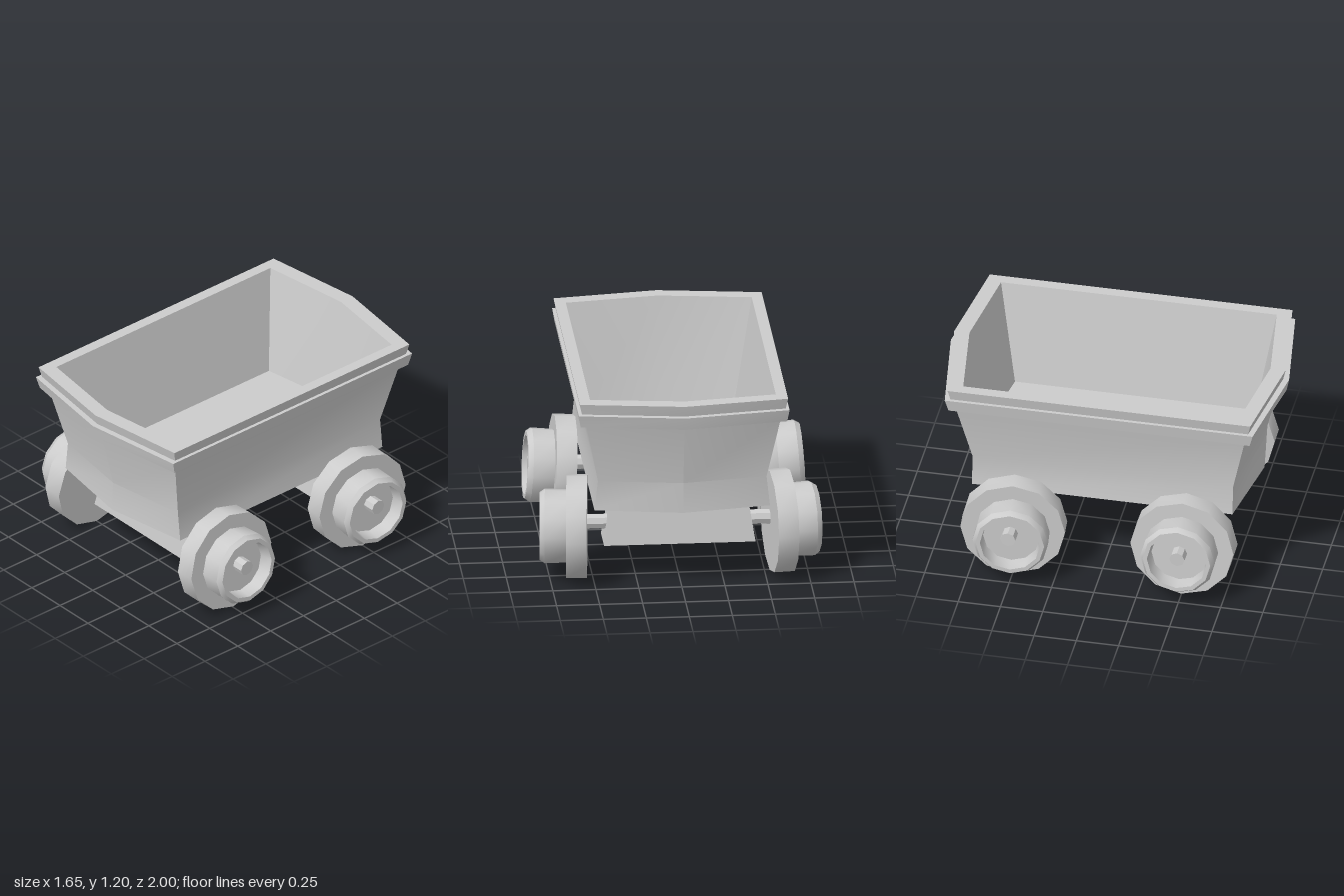
import * as THREE from 'three';
import { toCreasedNormals } from 'three/addons/utils/BufferGeometryUtils.js';

const material = new THREE.MeshStandardMaterial({ color: 0xcccccc });
const openMaterial = new THREE.MeshStandardMaterial({ color: 0xcccccc, side: THREE.DoubleSide });

function addMesh(parent, name, geometry, mat = material) {
  const mesh = new THREE.Mesh(geometry, mat);
  mesh.name = name;
  parent.add(mesh);
  return mesh;
}

// Skins six-sided rings [y, half width, z at corners, z at the middle], bottom outside first
function loft(levels, capped) {
  const rings = levels.map(([y, w, zc, zm]) => [
    [w, y, zc], [0, y, zm], [-w, y, zc], [-w, y, -zc], [0, y, -zm], [w, y, -zc],
  ]);
  const pos = [];
  const tri = (a, b, c) => pos.push(...a, ...b, ...c);
  for (let i = 0; i < rings.length - 1; i++) {
    for (let j = 0; j < 6; j++) {
      const k = (j + 1) % 6;
      const [lo, hi] = [rings[i], rings[i + 1]];
      tri(lo[j], hi[j], lo[k]);
      tri(lo[k], hi[j], hi[k]);
    }
  }
  if (capped) {
    const first = rings[0], last = rings[rings.length - 1];
    for (let j = 1; j < 5; j++) {
      tri(first[0], first[j], first[j + 1]);
      tri(last[0], last[j + 1], last[j]);
    }
  }
  const geometry = new THREE.BufferGeometry();
  geometry.setAttribute('position', new THREE.Float32BufferAttribute(pos, 3));
  return toCreasedNormals(geometry, 0.35);
}

// Wheel turned around its axle: flange, hub with bevelled lip, recess
function wheelGeometry() {
  const profile = [
    [0, -0.12], [0.305, -0.12], [0.305, 0], [0.215, 0], [0.22, 0.125],
    [0.2, 0.155], [0.175, 0.155], [0.165, 0.07], [0, 0.07],
  ].map(([r, h]) => new THREE.Vector2(r, h));
  return toCreasedNormals(new THREE.LatheGeometry(profile, 12).toNonIndexed(), 0.55);
}

export function createModel() {
  const model = new THREE.Group();
  model.name = 'mineCart';

  // Tub: flared outside, two rim bands, sloping inside down to the floor
  addMesh(model, 'tub', loft([
    [0.5, 0.51, 0.77, 0.855],
    [0.68, 0.49, 0.77, 0.845],
    [1.06, 0.565, 0.855, 0.935],
    [1.06, 0.6, 0.89, 0.985],
    [1.135, 0.612, 0.91, 1.0],
    [1.135, 0.592, 0.88, 0.965],
    [1.2, 0.605, 0.895, 0.98],
    [1.2, 0.54, 0.815, 0.89],
    [0.59, 0.43, 0.71, 0.78],
  ], true));

  const wheel = wheelGeometry();
  for (const end of [1, -1]) {
    const place = end > 0 ? 'front' : 'back';
    const z = 0.5 * end;

    // Axle housing, open underneath
    const housing = addMesh(model, place + 'AxleHousing', loft([
      [0.22, 0.44, 0.11, 0.11],
      [0.5, 0.395, 0.07, 0.07],
    ], false), openMaterial);
    housing.position.z = z;

    // Axle through to the wheel recesses
    const axle = addMesh(model, place + 'Axle',
      toCreasedNormals(new THREE.CylinderGeometry(0.045, 0.045, 1.58, 8).toNonIndexed(), 0.5));
    axle.rotation.z = Math.PI / 2;
    axle.position.set(0, 0.333, z);

    // Crooked wheels: the front pair lean, the back pair are turned
    const lean = end > 0 ? 0.06 : 0;
    const turn = end > 0 ? 0 : 0.095;
    for (const side of [1, -1]) {
      const hub = new THREE.Group();
      hub.name = place + (side > 0 ? 'Left' : 'Right') + 'Wheel';
      hub.position.set(0.65 * side, end > 0 ? 0.316 : 0.31, z);
      hub.rotation.y = -turn * side;
      model.add(hub);
      addMesh(hub, 'wheel', wheel).rotation.z = side * (lean - Math.PI / 2);
    }
  }
  return model;
}
